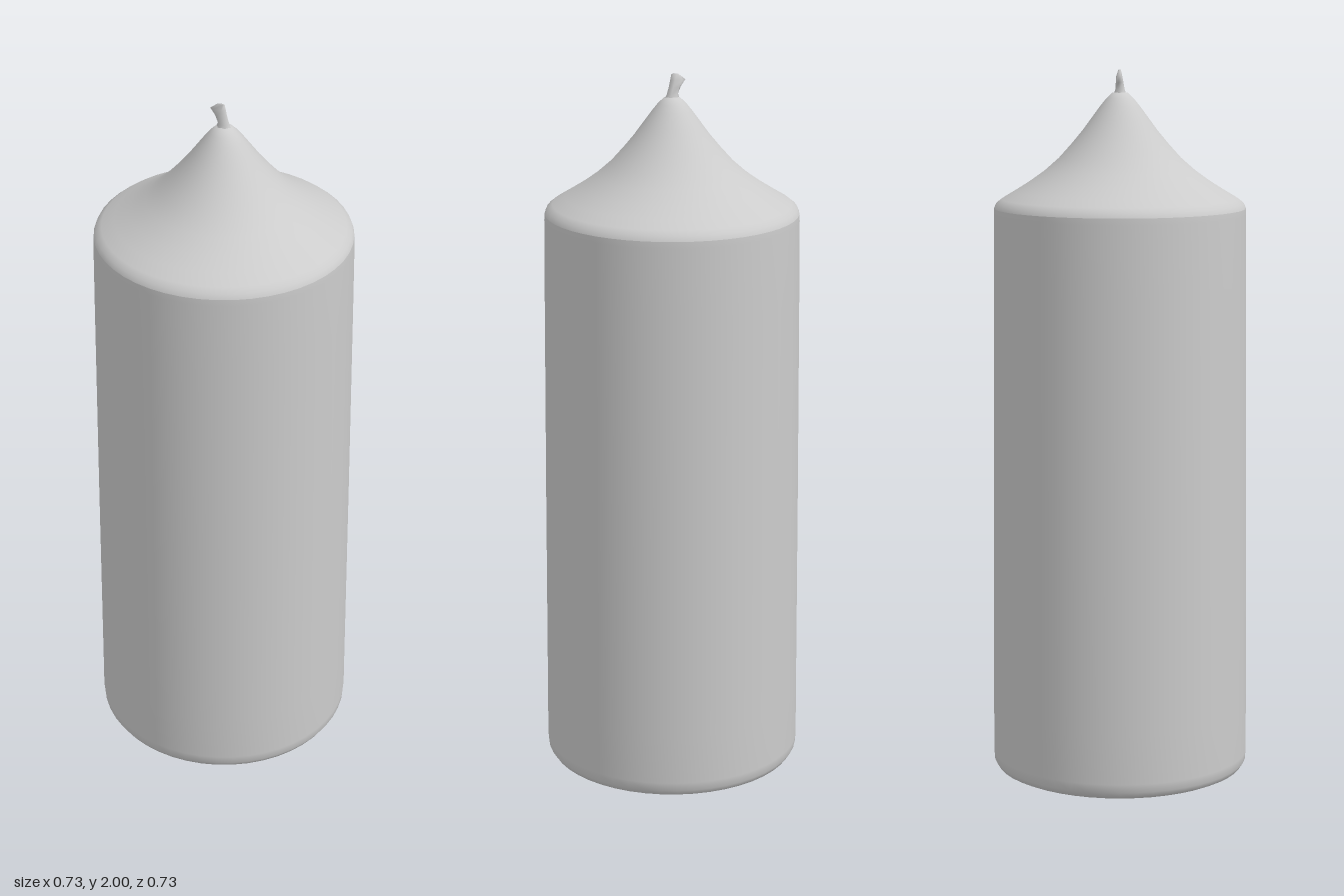
import * as THREE from 'three';

const material = new THREE.MeshStandardMaterial({ color: 0xcccccc, roughness: 0.8 });

// Smooth lathe from [radius, height] pairs, listed bottom to top
function lathe(name, profile, segments) {
  const points = profile.map(([r, y]) => new THREE.Vector2(r, y));
  const mesh = new THREE.Mesh(new THREE.LatheGeometry(points, segments), material);
  mesh.name = name;
  return mesh;
}

// Wick: square prism whose rings taper, lean to one side and hook near the tip
function makeWick() {
  // height, left x, right x, half depth
  const rings = [
    [1.915, -0.03, 0.03, 0.024],
    [1.945, -0.018, 0.016, 0.014],
    [1.965, -0.026, 0.01, 0.011],
    [1.983, -0.04, 0.006, 0.008],
    [2.0, -0.018, 0.002, 0.003],
  ];
  const sides = 6;
  const positions = [];
  const index = [];
  for (const [y, left, right, depth] of rings) {
    for (let i = 0; i < sides; i++) {
      const a = (i / sides) * Math.PI * 2;
      const x = (left + right) / 2 + (Math.cos(a) * (right - left)) / 2;
      positions.push(x, y, Math.sin(a) * depth);
    }
  }
  for (let r = 0; r < rings.length - 1; r++) {
    for (let i = 0; i < sides; i++) {
      const a = r * sides + i;
      const b = r * sides + ((i + 1) % sides);
      index.push(a, a + sides, b, b, a + sides, b + sides);
    }
  }
  // Close the tip
  const tip = (rings.length - 1) * sides;
  for (let i = 1; i < sides - 1; i++) index.push(tip, tip + i + 1, tip + i);

  const geometry = new THREE.BufferGeometry();
  geometry.setAttribute('position', new THREE.Float32BufferAttribute(positions, 3));
  geometry.setIndex(index);
  geometry.computeVertexNormals();
  const mesh = new THREE.Mesh(geometry, material);
  mesh.name = 'wick';
  return mesh;
}

export function createModel() {
  const candle = new THREE.Group();
  candle.name = 'candle';

  // Slightly tapered wax body with a rounded foot
  candle.add(lathe('body', [
    [0.335, 0.012], [0.352, 0.02], [0.362, 0.036], [0.364, 0.06],
    [0.363, 0.2], [0.359, 0.8], [0.354, 1.4], [0.352, 1.6], [0.351, 1.618],
  ], 48));

  // Nearly flat underside
  candle.add(lathe('underside', [[0, 0.003], [0.2, 0.004], [0.32, 0.008], [0.335, 0.012]], 48));

  // Wax shoulder sweeping up in a concave curve to the wick
  candle.add(lathe('shoulder', [
    [0.351, 1.618], [0.345, 1.632], [0.33, 1.644], [0.295, 1.665], [0.255, 1.69],
    [0.21, 1.722], [0.17, 1.757], [0.135, 1.796], [0.105, 1.832], [0.08, 1.866],
    [0.055, 1.9], [0.038, 1.921], [0.022, 1.936], [0, 1.942],
  ], 48));

  candle.add(makeWick());
  return candle;
}
